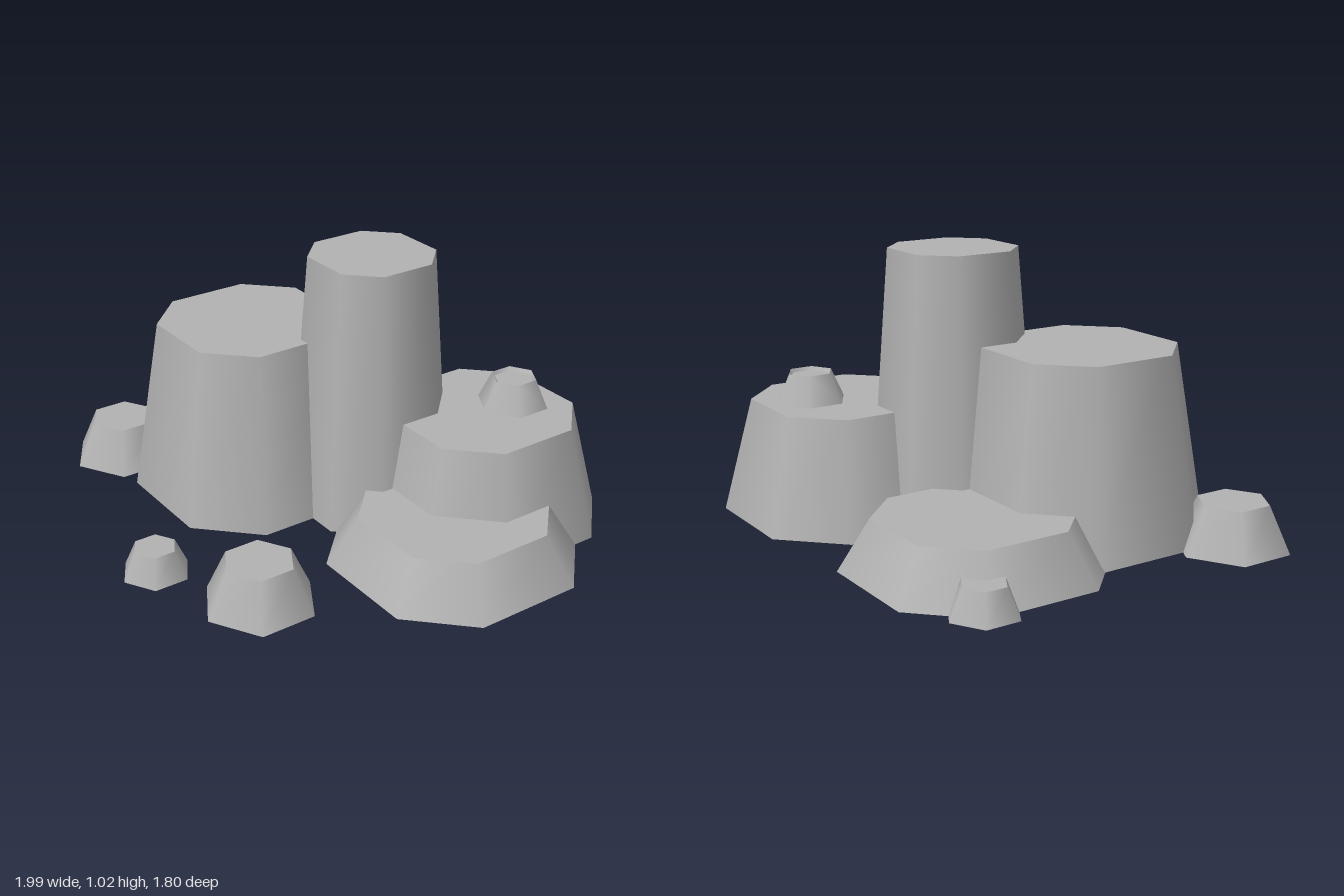
import * as THREE from 'three';

const stone = new THREE.MeshStandardMaterial({ color: 0xb2b2b2 });
stone.name = 'grey stone';

// Tapered block with an eight-sided plan: straight sides are half the width,
// corners are cut at a quarter of it. Sizes are half widths.
function mesaGeometry(top, bottom, height) {
  const g = new THREE.CylinderGeometry(top, bottom, height, 8, 1, false, Math.PI / 8);
  const p = g.attributes.position;
  const big = 1 / Math.cos(Math.PI / 8);
  const small = 0.5 / Math.sin(Math.PI / 8);
  for (let i = 0; i < p.count; i++) {
    const x = p.getX(i), z = p.getZ(i);
    const wide = Math.abs(x) > Math.abs(z);
    p.setX(i, x * (wide ? big : small));
    p.setZ(i, z * (wide ? small : big));
  }
  return g;
}

export function createModel() {
  const model = new THREE.Group();
  model.name = 'rockFormation';

  function add(name, geometry, x, y, z) {
    const mesh = new THREE.Mesh(geometry, stone);
    mesh.name = name;
    mesh.position.set(x, y, z);
    model.add(mesh);
  }

  // Large rocks: name, x, z, top half width, bottom half width, height
  const mesas = [
    ['tallPillar', 0.045, -0.195, 0.215, 0.285, 1.02],
    ['frontRightMesa', -0.35, 0.093, 0.32, 0.422, 0.69],
    ['backRightSlab', -0.47, -0.435, 0.32, 0.422, 0.185],
    ['backLeftMesa', 0.367, -0.48, 0.32, 0.422, 0.43],
    ['leftSlab', 0.573, -0.19, 0.32, 0.422, 0.185],
  ];
  for (const [name, x, z, top, bottom, h] of mesas) {
    add(name, mesaGeometry(top, bottom, h), x, h / 2, z);
  }

  // Small six-sided boulders: name, x, z, top radius, bottom radius, height
  const boulders = [
    ['rightBoulder', -0.815, 0.43, 0.133, 0.213, 0.17],
    ['frontBoulder', 0.423, 0.56, 0.133, 0.213, 0.17],
    ['frontPebble', 0.046, 0.765, 0.082, 0.13, 0.105],
    ['backPebble', -0.843, -0.64, 0.082, 0.13, 0.105],
  ];
  for (const [name, x, z, top, bottom, h] of boulders) {
    add(name, new THREE.CylinderGeometry(top, bottom, h, 6), x, h / 2, z);
  }

  // Vent on the back mesa: outer slope, inner slope and shallow floor
  const profile = [[0.138, 0], [0.087, 0.11], [0.077, 0.097], [0, 0.097]];
  ['ventSlope', 'ventRim', 'ventFloor'].forEach((name, i) => {
    const pts = [profile[i], profile[i + 1]].map(([r, y]) => new THREE.Vector2(r, y));
    add(name, new THREE.LatheGeometry(pts, 6), 0.39, 0.43, -0.617);
  });

  return model;
}
